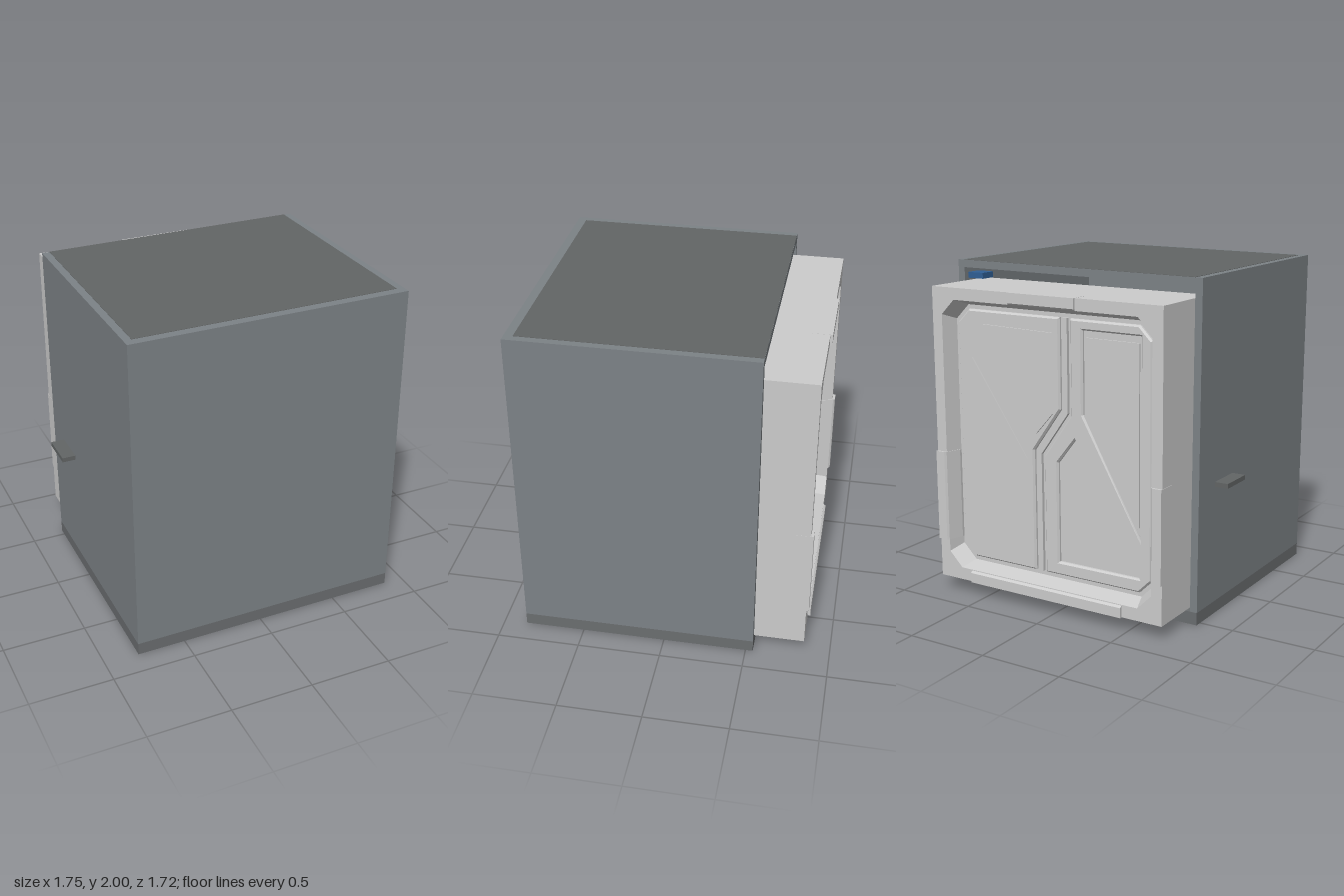
import * as THREE from 'three';

const mat = (color, extra = {}) => new THREE.MeshStandardMaterial({ color, ...extra });
const shellMat = mat(0x7c8286);
const darkMat = mat(0x626565);
const bandMat = mat(0x6a6d6f);
const greyMat = mat(0xcccccc);
const slopeMat = mat(0xcccccc, { side: THREE.DoubleSide, flatShading: true });
const blueMat = mat(0x2f5f94);

function add(parent, name, geometry, material) {
  const mesh = new THREE.Mesh(geometry, material);
  mesh.name = name;
  parent.add(mesh);
  return mesh;
}

// Box given by its minimum and maximum corners
function block(parent, name, [x0, y0, z0], [x1, y1, z1], material) {
  const mesh = add(parent, name, new THREE.BoxGeometry(x1 - x0, y1 - y0, z1 - z0), material);
  mesh.position.set((x0 + x1) / 2, (y0 + y1) / 2, (z0 + z1) / 2);
  return mesh;
}

const points = list => list.map(([x, y]) => new THREE.Vector2(x, y));
const polygon = list => new THREE.Shape(points(list));

// Rectangle with cut corners, counter-clockwise
function octagon(w, y0, y1, c) {
  return [[-w + c, y0], [w - c, y0], [w, y0 + c], [w, y1 - c],
    [w - c, y1], [-w + c, y1], [-w, y1 - c], [-w, y0 + c]];
}

// Sloped band joining two outlines at different depths
function slopeBand(outer, zOuter, inner, zInner) {
  const pos = [], index = [], n = outer.length;
  for (let i = 0; i < n; i++) {
    pos.push(...outer[i], zOuter, ...inner[i], zInner);
    const a = 2 * i, b = 2 * ((i + 1) % n);
    index.push(a, b, a + 1, b, b + 1, a + 1);
  }
  const g = new THREE.BufferGeometry();
  g.setAttribute('position', new THREE.Float32BufferAttribute(pos, 3));
  g.setIndex(index);
  const flat = g.toNonIndexed();
  flat.computeVertexNormals();
  return flat;
}

// Hollow housing, open at the back and very slightly tilted
function buildHousing() {
  const housing = new THREE.Group();
  housing.name = 'housing';
  const w = 0.832, h = 0.993, zb = -0.545, zf = 0.857, t = 0.045;
  block(housing, 'floor', [-w, -h, zb], [w, -h + 0.075, zf], bandMat);
  block(housing, 'ceiling', [-w, h - t, zb], [w, h, zf], shellMat);
  block(housing, 'frontWall', [-w, -h + 0.075, zf - t], [w, h - t, zf], shellMat);
  for (const s of [-1, 1]) {
    const x = [s * w, s * (w - t)].sort((a, b) => a - b);
    block(housing, s > 0 ? 'leftWall' : 'rightWall',
      [x[0], -h + 0.075, zb], [x[1], h - t, zf - t], shellMat);
  }
  block(housing, 'roofInlay', [-w + t, h - 0.01, zb + 0.001], [w - t, h + 0.002, zf - 0.053], darkMat);
  block(housing, 'undersidePlate', [-w + 0.003, -h - 0.001, zb + 0.003],
    [w - 0.003, -h + 0.01, zf - 0.003], darkMat);
  housing.position.set(0.034, 0.999, 0);
  housing.rotation.z = 0.005;
  return housing;
}

// Door unit, built facing +z and then turned to the back
function buildDoor() {
  const door = new THREE.Group();
  door.name = 'door';
  const W = 0.7775, Y0 = 0.09, Y1 = 1.87, zFace = 0.845, zPanel = 0.745;

  // Surround with a cut-corner opening
  const outer = octagon(0.71, 0.165, 1.8, 0.09);
  const inner = octagon(0.68, 0.195, 1.765, 0.09);
  const surround = polygon([[-W, Y0], [W, Y0], [W, Y1], [-W, Y1]]);
  surround.holes.push(new THREE.Path(points(outer)));
  const depth = 0.5;
  add(door, 'frame', new THREE.ExtrudeGeometry(surround, { depth, bevelEnabled: false }), greyMat)
    .position.z = zFace - depth;
  add(door, 'frameSlope', slopeBand(outer, zFace, inner, zPanel), slopeMat);
  block(door, 'backPlate', [-0.72, 0.15, 0.65], [0.72, 1.81, zPanel - 0.01], greyMat);

  // Clamps wrapping the frame edges
  function clamp(name, x, y, length, ix, iy) {
    const profile = polygon([[0, -0.1], [0.1, -0.1], [0.1, -0.085], [0.07, 0.004], [0.06, 0.015], [0, 0.015]]);
    const g = new THREE.ExtrudeGeometry(profile, { depth: length, bevelEnabled: false });
    g.translate(0, 0, -length / 2);
    const inward = new THREE.Vector3(ix, iy, 0), out = new THREE.Vector3(0, 0, 1);
    g.applyMatrix4(new THREE.Matrix4().makeBasis(inward, out, inward.clone().cross(out)));
    add(door, name, g, greyMat).position.set(x, y, zFace);
  }
  clamp('topClamp', -0.002, Y1 + 0.001, 0.45, 0, -1);
  clamp('bottomClamp', -0.012, Y0 - 0.001, 1.06, 0, 1);
  clamp('sideClamp', -W - 0.001, 0.605, 0.55, 1, 0);
  clamp('sideClamp', W + 0.001, 0.605, 0.55, -1, 0);

  // Two interlocking leaves with recessed panels
  const top = 1.74, bottom = 0.22, edge = 0.66, cut = 0.08;
  const seam = (d, k = 0) => [[0.093 + d, top], [0.093 + d, 1.2 + k], [-0.093 + d, 0.94 + k], [-0.093 + d, bottom]];
  const side = s => [[s * (edge - cut), bottom], [s * edge, bottom + cut], [s * edge, top - cut], [s * (edge - cut), top]];
  function leaf(name, s, panels) {
    const shape = polygon([...seam(s * 0.036, -s * 0.012), ...side(s)]);
    for (const p of panels) shape.holes.push(new THREE.Path(points(p)));
    const g = new THREE.ExtrudeGeometry(shape, {
      depth: 0.012, bevelThickness: 0.012, bevelSize: 0.01, bevelOffset: -0.01, bevelSegments: 1
    });
    add(door, name, g, greyMat).position.z = zPanel - 0.008;
    // Raised inner sheet in each recess
    for (const p of panels) {
      const cx = p.reduce((a, q) => a + q[0], 0) / p.length;
      const cy = p.reduce((a, q) => a + q[1], 0) / p.length;
      const sheet = polygon(p.map(([x, y]) => [cx + (x - cx) * 0.9, cy + (y - cy) * 0.9]));
      add(door, 'panelSheet', new THREE.ExtrudeGeometry(sheet, { depth: 0.012, bevelEnabled: false }), greyMat)
        .position.z = zPanel - 0.012;
    }
  }
  leaf('leafA', -1, [
    [[-0.525, 1.685], [0.018, 1.675], [0.018, 1.165], [-0.12, 1.01]],
    [[-0.6, 1.53], [-0.165, 0.9], [-0.165, 0.3], [-0.6, 0.3]]
  ]);
  leaf('leafB', 1, [
    [[0.21, 1.68], [0.59, 1.68], [0.59, 0.52], [0.21, 1.2]],
    [[0.037, 0.9], [0.155, 1.05], [0.58, 0.3], [0.037, 0.3]]
  ]);

  // Raised strip along the stepped seam
  const strip = polygon([...seam(-0.014, 0.005), ...seam(0.014, -0.005).reverse()]);
  add(door, 'seamStrip', new THREE.ExtrudeGeometry(strip, { depth: 0.022, bevelEnabled: false }), greyMat)
    .position.z = zPanel - 0.012;

  door.position.x = 0.0425;
  door.rotation.y = Math.PI;
  return door;
}

export function createModel() {
  const model = new THREE.Group();
  model.name = 'doorHousing';
  model.add(buildHousing(), buildDoor());
  block(model, 'sideLever', [-0.88, 0.78, -0.355], [-0.78, 0.808, -0.135], darkMat);
  block(model, 'innerBox', [0.7, 1.885, -0.52], [0.81, 1.92, -0.42], blueMat);
  return model;
}
